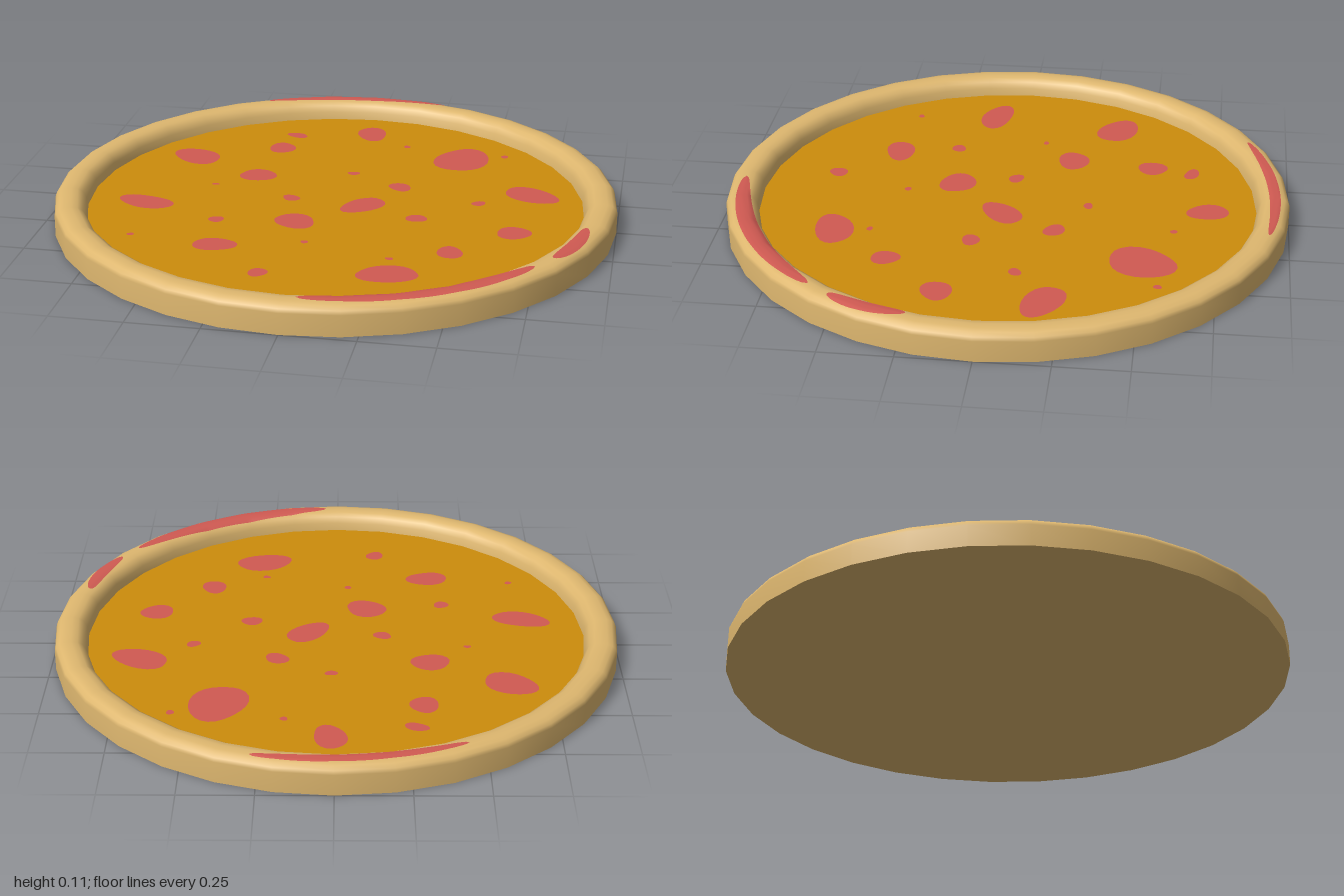
import * as THREE from 'three';

const SIDES = 32;
const CHEESE_Y = 0.04;

// Crust cross-section [radius, height], from the outer foot over the crest to the cheese
const PROFILE = [
  [1, 0], [1, 0.075], [0.995, 0.088], [0.983, 0.099], [0.965, 0.104], [0.942, 0.105],
  [0.92, 0.102], [0.902, 0.09], [0.89, 0.068], [0.885, 0.035],
];

// Spots on the cheese: x, z, half width, half depth, turn
const SPOTS = [
  [0.015, -0.715, 0.055, 0.075, -0.4], [-0.27, -0.65, 0.04, 0.026, 0.3], [0.17, -0.6, 0.013, 0.013, 0],
  [0.55, -0.56, 0.014, 0.014, 0], [0.395, -0.5, 0.096, 0.122, 0.2], [-0.3, -0.505, 0.048, 0.055, 0.4],
  [-0.6, -0.36, 0.1, 0.067, 0.4], [-0.33, -0.21, 0.07, 0.055, 0.1], [0.015, -0.29, 0.022, 0.017, 0],
  [0.205, -0.185, 0.043, 0.036, 0.4], [0.685, -0.19, 0.11, 0.062, 0.4], [0.505, -0.08, 0.026, 0.021, -0.3],
  [-0.465, -0.095, 0.013, 0.01, 0], [-0.165, -0.013, 0.033, 0.026, 0.2], [0.1, 0.01, 0.095, 0.053, -0.75],
  [0.305, 0.095, 0.037, 0.032, 0.2], [-0.67, 0.115, 0.1, 0.058, 0.2], [-0.11, 0.195, 0.075, 0.062, 0.2],
  [0.655, 0.165, 0.062, 0.052, 0], [-0.385, 0.228, 0.026, 0.027, 0], [0.458, 0.368, 0.043, 0.052, 0],
  [-0.042, 0.368, 0.014, 0.012, 0], [-0.645, 0.41, 0.013, 0.011, 0], [-0.34, 0.443, 0.073, 0.055, -0.1],
  [0.265, 0.455, 0.014, 0.011, 0], [0.278, 0.58, 0.11, 0.064, -0.2], [-0.145, 0.642, 0.032, 0.034, 0],
];

// Sauce streaks on the crust: start and end as [x, z], middle radius, half width
const STREAKS = [
  [[-0.43, -0.85], [0.27, -0.925], 0.945, 0.02],
  [[0.905, 0.225], [0.815, 0.495], 0.95, 0.026],
  [[0.045, 0.94], [0.76, 0.57], 0.937, 0.033],
];

// Height of the faceted crust at a point
function crustY(radius, angle) {
  const step = (2 * Math.PI) / SIDES;
  const off = angle - (Math.floor(angle / step) + 0.5) * step;
  const r = (radius * Math.cos(off)) / Math.cos(step / 2);
  for (let i = 1; i < PROFILE.length - 1; i++) {
    const [r0, y0] = PROFILE[i], [r1, y1] = PROFILE[i + 1];
    if (r <= r0 && r >= r1) return y0 + ((y1 - y0) * (r0 - r)) / (r0 - r1);
  }
  return 0.075;
}

// Rounded, slightly uneven flat blob
function spotGeometry([x, z, w, d, turn], seed) {
  const points = [];
  for (let i = 0; i < 24; i++) {
    const a = (i / 24) * Math.PI * 2;
    const k = 1 + 0.06 * Math.sin(2 * a + seed) + 0.05 * Math.sin(3 * a + seed * 2.3);
    points.push(new THREE.Vector2(Math.cos(a) * w * k, Math.sin(a) * d * k));
  }
  const g = new THREE.ShapeGeometry(new THREE.Shape(points));
  return g.rotateX(-Math.PI / 2).rotateY(-turn).translate(x, CHEESE_Y + 0.003, z);
}

// Tapered band draped over the crust
function streakGeometry([start, end, midRadius, halfWidth]) {
  const a0 = Math.atan2(start[1], start[0]), a1 = Math.atan2(end[1], end[0]);
  const r0 = Math.hypot(...start), r1 = Math.hypot(...end);
  const along = 64, across = 8;
  const g = new THREE.PlaneGeometry(1, 1, along, across);
  const p = g.attributes.position;
  for (let i = 0; i < p.count; i++) {
    const t = p.getX(i) + 0.5, v = p.getY(i) * 2;
    const bow = 4 * t * (1 - t);
    const angle = a0 + (a1 - a0) * t;
    const centre = r0 + (r1 - r0) * t + (midRadius - (r0 + r1) / 2) * bow;
    const r = centre - v * halfWidth * Math.pow(bow, 0.45);
    p.setXYZ(i, r * Math.cos(angle), crustY(r, angle) + 0.003, r * Math.sin(angle));
  }
  g.computeVertexNormals();
  return g;
}

export function createModel() {
  const pizza = new THREE.Group();
  pizza.name = 'pizza';
  const material = (name, color, side = THREE.FrontSide) => {
    const m = new THREE.MeshStandardMaterial({ color, side });
    m.name = name;
    return m;
  };
  const dough = material('dough', 0xdeb76f);
  const cheeseColour = material('cheese', 0xcc8c0c);
  const sauce = material('sauce', 0xd05a52, THREE.DoubleSide);
  const add = (name, geometry, mat, parent = pizza) => {
    const mesh = new THREE.Mesh(geometry, mat);
    mesh.name = name;
    parent.add(mesh);
    return mesh;
  };

  // Crust ring and flat underside
  add('crust', new THREE.LatheGeometry(PROFILE.map(([r, y]) => new THREE.Vector2(r, y)), SIDES), dough);
  add('base', new THREE.CircleGeometry(1, SIDES).rotateX(Math.PI / 2), dough);

  // Cheese filling
  add('cheese', new THREE.CircleGeometry(0.888, SIDES).rotateX(-Math.PI / 2).translate(0, CHEESE_Y, 0), cheeseColour);

  // Sauce showing through the cheese and smeared on the crust
  const spots = new THREE.Group();
  spots.name = 'sauceSpots';
  SPOTS.forEach((s, i) => add('sauceSpot', spotGeometry(s, i * 1.7), sauce, spots));
  const streaks = new THREE.Group();
  streaks.name = 'crustStreaks';
  STREAKS.forEach((s) => add('crustStreak', streakGeometry(s), sauce, streaks));
  pizza.add(spots, streaks);
  return pizza;
}
